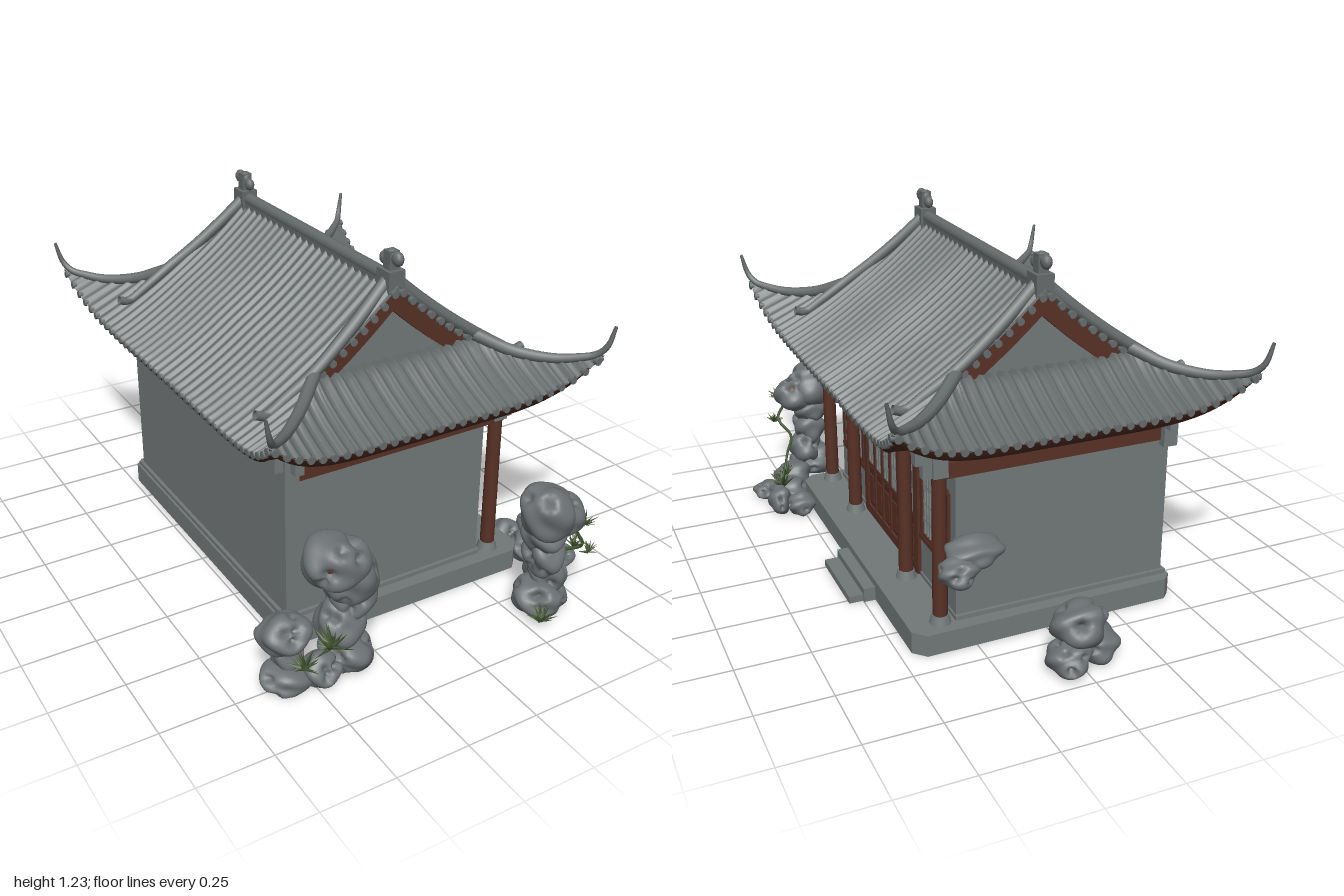
import * as THREE from 'three';
import { mergeVertices } from 'three/addons/utils/BufferGeometryUtils.js';

const mat = (name, color, side = THREE.FrontSide) => Object.assign(new THREE.MeshStandardMaterial({ color, side }), { name });
let seed = 7;
const rand = () => (seed = (seed * 16807) % 2147483647) / 2147483647;
const V = (x, y, z) => new THREE.Vector3(x, y, z);

// Roof rule: ridge along z; d runs down the slope, t runs from hip start (0) to corner (1)
const HX = 0.3, DX = 0.31, HZ = 0.53, DZ = 0.285, XC = HX + DX, ZC = HZ + DZ, PITCH = 0.042;
const profile = d => 1.13 - 0.93 * d + 0.47 * d * d;
const lift = (t, s) => 0.13 * t ** 2.2 * s ** 5;
const eaveT = s => 0.86 + 0.14 * s ** 4;
const mainY = (d, z) => {
  const t = Math.max(0, (d - HX) / DX), s = Math.min(1, Math.abs(z) / (HZ + DZ * t));
  return profile(d) + lift(t, s) - 0.028 * t * (1 - s ** 6);
};
const endY = (x, z) => {
  const t = Math.max(0, (z - HZ) / DZ), s = Math.min(1, Math.abs(x) / (HX + DX * t));
  return profile(HX + DX * t) + lift(t, s) - 0.025 * (1 - s ** 6) * (1 - t) - 0.25 * Math.max(0, HZ - z);
};
const rib = a => 0.014 * Math.max(0, Math.cos(a / PITCH * Math.PI * 2)) ** 0.6;

// Surface from a rule fn(u, v) with u, v in 0..1
function grid(fn, nu, nv) {
  const pos = [], idx = [];
  for (let i = 0; i <= nu; i++) for (let j = 0; j <= nv; j++) pos.push(...fn(i / nu, j / nv));
  for (let i = 0; i < nu; i++) for (let j = 0; j < nv; j++) {
    const a = i * (nv + 1) + j, b = a + nv + 1;
    idx.push(a, a + 1, b, b, a + 1, b + 1);
  }
  const g = new THREE.BufferGeometry().setIndex(idx);
  g.setAttribute('position', new THREE.Float32BufferAttribute(pos, 3));
  g.computeVertexNormals();
  return g;
}

// Tube that narrows towards its end
function taperTube(points, r, end, seg = 24, sides = 8) {
  const curve = new THREE.CatmullRomCurve3(points), g = new THREE.TubeGeometry(curve, seg, r, sides);
  const p = g.attributes.position, v = V(0, 0, 0);
  for (let i = 0; i < p.count; i++) {
    const u = Math.floor(i / (sides + 1)) / seg, c = curve.getPointAt(u);
    v.fromBufferAttribute(p, i).sub(c).multiplyScalar(1 + (end - 1) * u * u).add(c);
    p.setXYZ(i, v.x, v.y, v.z);
  }
  return g;
}

// Weathered stone: a ball with waves and pits, flat where it meets the ground
function stone(rx, ry, rz, floor) {
  let g = new THREE.IcosahedronGeometry(1, 8);
  g.deleteAttribute('normal'); g.deleteAttribute('uv');
  g = mergeVertices(g, 1e-4);
  const p = g.attributes.position, v = V(0, 0, 0), ph = rand() * 20;
  const pits = Array.from({ length: 10 }, () => V(rand() - 0.5, rand() - 0.5, rand() - 0.5).normalize());
  for (let i = 0; i < p.count; i++) {
    v.fromBufferAttribute(p, i);
    let k = 1.04 + 0.1 * Math.sin(3 * v.x + ph) * Math.cos(3.5 * v.y + ph) + 0.08 * Math.sin(5 * v.z + 4 * v.y + 2 * ph);
    for (const q of pits) k -= 0.34 * Math.exp(-v.distanceToSquared(q) * 34);
    p.setXYZ(i, v.x * k * rx, Math.max(floor, v.y * k * ry), v.z * k * rz);
  }
  g.computeVertexNormals();
  return g;
}

export function createModel() {
  const tile = mat('roofTile', 0x666b6b, THREE.DoubleSide), wall = mat('plaster', 0x727878);
  const wood = mat('redBrownWood', 0x573126), darkWood = mat('darkWood', 0x4c2a20, THREE.DoubleSide);
  const rock = mat('rock', 0x6b7072), leaf = mat('leaf', 0x465a33, THREE.DoubleSide), pale = mat('paleLattice', 0x7f8686);
  const model = new THREE.Group(), roof = new THREE.Group();
  model.name = 'courtyardHall';
  roof.name = 'roof';
  roof.position.set(-0.025, 0, -0.03);
  model.add(roof);
  const add = (name, geo, m, parent = model, x = 0, y = 0, z = 0) => {
    const o = new THREE.Mesh(geo, m);
    o.name = name; o.position.set(x, y, z); parent.add(o);
    return o;
  };
  const box = (name, m, x0, x1, y0, y1, z0, z1, parent = model) =>
    add(name, new THREE.BoxGeometry(x1 - x0, y1 - y0, z1 - z0), m, parent, (x0 + x1) / 2, (y0 + y1) / 2, (z0 + z1) / 2);

  const disc = new THREE.CylinderGeometry(0.0125, 0.0125, 0.016, 10);
  const slab = (shape, depth) => new THREE.ExtrudeGeometry(shape, { depth, bevelEnabled: false });
  const gable = (hi, lim, lower) => {
    const ds = Array.from({ length: 13 }, (_, i) => lim * (i / 6 - 1)), pt = (d, y) => new THREE.Vector2(d, y);
    return new THREE.Shape([...ds.map(d => pt(d, profile(Math.abs(d)) - hi)), ...ds.reverse().map(d => pt(d, lower(Math.abs(d))))]);
  };
  for (const k of [1, -1]) {
    // Tiled slopes
    const main = (z0, z1, n) => add('mainSlope', grid((u, v) => {
      const z = z0 + (z1 - z0) * u, a = Math.abs(z);
      const d0 = z0 * z1 > 0 ? HX + DX * (a - HZ) / DZ : 0;
      const d = d0 + (HX + DX * eaveT(a / ZC) - d0) * v;
      return [k * d, mainY(d, z) + rib(z), z];
    }, n, 18), tile, roof);
    main(-HZ, HZ, 200); main(HZ, ZC, 54); main(-ZC, -HZ, 54);
    const end = (x0, x1, n) => add('endSlope', grid((u, v) => {
      const x = x0 + (x1 - x0) * u, a = Math.abs(x);
      const z0 = x0 * x1 > 0 ? HZ + DZ * (a - HX) / DX : 0.44;
      const z = z0 + (HZ + DZ * eaveT(a / XC) - z0) * v;
      return [x, endY(x, z) + rib(x), k * z];
    }, n, 12), tile, roof);
    end(-HX, HX, 110); end(HX, XC, 56); end(-XC, -HX, 56);

    // Round tile ends along the eaves
    for (let i = -19; i <= 19; i++) {
      const z = i * PITCH, d = HX + DX * eaveT(Math.abs(z) / ZC);
      add('eaveTileEnd', disc, tile, roof, k * (d - 0.004), mainY(d, z), z).rotation.z = Math.PI / 2;
    }
    for (let i = -14; i <= 14; i++) {
      const x = i * PITCH, z = HZ + DZ * eaveT(Math.abs(x) / XC);
      add('eaveTileEnd', disc, tile, roof, x, endY(x, z), k * (z - 0.004)).rotation.x = Math.PI / 2;
    }

    // Gable wall, bargeboards, verge tiles and ridges
    add('gableWall', slab(gable(0.03, 0.29, () => 0.8), 0.02), wall, roof, 0, 0, k * 0.45 - 0.01);
    add('bargeboard', slab(gable(0.01, 0.3, d => profile(d) - 0.09), 0.025), wood, roof, 0, 0, k * 0.49 - 0.0125);
    for (const s of [1, -1]) {
      for (let d = 0.015; d < 0.32; d += 0.037)
        add('vergeTileEnd', disc, tile, roof, s * d, profile(d) - 0.01, k * HZ).rotation.x = Math.PI / 2;
      const verge = [0, 0.1, 0.2, 0.3, 0.4, 0.47].map((d, i) => V(s * d, mainY(d, 0.5) + 0.02, k * (0.48 + 0.05 * Math.min(1, i / 3))));
      verge.push(V(s * 0.505, mainY(0.5, 0.5) + 0.045, k * 0.53));
      add('vergeRidge', taperTube(verge, 0.022, 0.7), tile, roof);
      const hip = [0, 0.3, 0.6, 0.8, 0.93].map(t => V(s * (HX + DX * t), profile(HX + DX * t) + lift(t, 1) + 0.012, k * (HZ + DZ * t)));
      hip.push(V(s * 0.61, 0.9, k * 0.82), V(s * 0.628, 0.97, k * 0.832));
      add('hipRidge', taperTube(hip, 0.022, 0.25, 30), tile, roof);
    }

    // Ridge-end ornament
    const z = k * 0.485;
    box('ornamentBase', tile, -0.03, 0.03, 1.1, 1.175, z - 0.035, z + 0.035, roof);
    box('ornamentNeck', tile, -0.018, 0.018, 1.17, 1.235, z - 0.018, z + 0.018, roof);
    for (const [dz, y, r] of [[-0.035, 1.2, 0.022], [0.035, 1.215, 0.024], [0, 1.215, 0.026]])
      add('ornamentCurl', new THREE.SphereGeometry(r, 12, 8).scale(0.75, 1, 1), tile, roof, 0, y, z + k * dz);
  }
  box('mainRidge', tile, -0.02, 0.02, 1.09, 1.15, -0.48, 0.48, roof);
  add('mainRidgeCap', new THREE.CylinderGeometry(0.022, 0.022, 0.9, 12), tile, roof, 0, 1.143, 0).rotation.x = Math.PI / 2;

  // Wooden underside following the curved eaves
  add('soffit', grid((u, v) => {
    const side = Math.min(3, Math.floor(u * 4)), s = (u * 4 - side) * 2 - 1, t = eaveT(Math.abs(s));
    const d = HX + DX * t, e = HZ + DZ * t, f = side < 2 ? 1 : -1, r = Math.round(v * 3);
    const [x, y, z] = side % 2 === 0 ? [f * d, mainY(d, s * ZC), f * s * ZC] : [-f * s * XC, endY(s * XC, e), f * e];
    const kx = [0.998, 0.965, 0.76, 0.6][r], kz = [0.998, 0.975, 0.8, 0.7][r];
    return [x * kx, [y + 0.002, y - 0.035, 0.695 + (y - 0.72) * 0.2, 0.715][r], z * kz];
  }, 160, 3), darkWood, roof);

  // Platform, steps and walls
  const base = new THREE.Shape([[-0.48, -0.63], [-0.45, -0.66], [0.42, -0.67], [0.46, -0.63], [0.46, 0.57], [0.42, 0.61], [-0.45, 0.6], [-0.48, 0.57]]
    .map(([x, z]) => new THREE.Vector2(x, -z)));
  add('platform', slab(base, 0.075), wall, model, 0, 0.01, 0).rotation.x = -Math.PI / 2;
  box('upperStep', wall, 0.44, 0.5, 0.01, 0.06, -0.28, 0.02);
  box('lowerStep', wall, 0.5, 0.55, 0.01, 0.035, -0.27, 0.01);
  box('plinth', wall, -0.472, 0.305, 0.08, 0.1, -0.622, 0.562);
  box('hallWalls', wall, -0.46, 0.3, 0.09, 0.72, -0.61, 0.55);
  box('porchCeiling', wall, 0.29, 0.36, 0.65, 0.72, -0.6, 0.54);

  // End beams with short posts
  for (const [z, k] of [[0.55, 1], [-0.61, -1]]) {
    const beam = (name, x0, x1, y0, y1) => box(name, wood, x0, x1, y0, y1, z - 0.015, z + 0.015);
    beam('lowerEndBeam', -0.42, 0.37, 0.592, 0.645);
    beam('upperEndBeam', -0.46, 0.37, 0.69, 0.72);
    for (const x of [-0.2, 0.145]) beam('endBeamPost', x - 0.018, x + 0.018, 0.64, 0.695);
    box('cornerBracket', wall, -0.475, -0.425, 0.57, 0.69, z - 0.03, z + 0.03);
    box('cornerBracketArm', wall, -0.505, -0.42, 0.645, 0.7, z - 0.02, z + 0.02);
    box('cornerBracketNose', wall, -0.455, -0.425, 0.64, 0.7, z - 0.02 + k * 0.04, z + 0.02 + k * 0.04);
  }

  // Porch columns with brackets and beams
  for (const z of [0.545, 0.25, -0.295, -0.605]) {
    add('porchColumn', new THREE.CylinderGeometry(0.023, 0.025, 0.6, 16), wood, model, 0.352, 0.4, z);
    add('columnBase', new THREE.CylinderGeometry(0.028, 0.036, 0.03, 16), wall, model, 0.352, 0.1, z);
    box('bracketBlock', wall, 0.33, 0.38, 0.6, 0.69, z - 0.026, z + 0.026);
    box('bracketArm', wall, 0.36, 0.435, 0.65, 0.695, z - 0.018, z + 0.018);
    box('bracketStep', wall, 0.36, 0.41, 0.6, 0.65, z - 0.014, z + 0.014);
  }
  box('porchBeam', wall, 0.335, 0.37, 0.605, 0.665, -0.6, 0.54);
  box('porchUpperBeam', wood, 0.335, 0.375, 0.665, 0.72, -0.6, 0.54);

  // Lattice panel on the porch wall: wooden frame, pale bars
  const lattice = (name, z0, z1, y0, y1, cols, rows) => {
    const g = new THREE.Group(), h = (z1 - z0) / cols, w = (y1 - y0) / rows;
    g.name = name; model.add(g);
    box('backing', darkWood, 0.298, 0.302, y0, y1, z0, z1, g);
    for (const z of [z0, z1]) box('stile', wood, 0.3, 0.31, y0, y1, z - 0.009, z + 0.009, g);
    for (const y of [y0, y1]) box('rail', wood, 0.3, 0.309, y - 0.009, y + 0.009, z0, z1, g);
    for (let z = z0 + h; z < z1 - 0.005; z += h) box('bar', pale, 0.3, 0.307, y0 + 0.01, y1 - 0.01, z - 0.0055, z + 0.0055, g);
    for (let y = y0 + w; y < y1 - 0.005; y += w) box('crossBar', pale, 0.3, 0.306, y - 0.005, y + 0.005, z0 + 0.01, z1 - 0.01, g);
  };
  for (let i = 0; i < 6; i++) {
    const z0 = -0.27 + i * 0.082, z1 = z0 + 0.082;
    box('doorPanel', darkWood, 0.298, 0.304, 0.11, 0.3, z0, z1);
    box('doorPanelRaised', wood, 0.3, 0.309, 0.14, 0.25, z0 + 0.018, z1 - 0.018);
    lattice('doorLattice', z0, z1, 0.29, 0.49, 4, 4);
    for (const z of [z0, z1]) box('doorStile', wood, 0.3, 0.31, 0.11, 0.3, z - 0.008, z + 0.008);
  }
  box('doorHead', wood, 0.298, 0.312, 0.49, 0.525, -0.295, 0.245);
  box('doorSill', wood, 0.298, 0.312, 0.085, 0.12, -0.295, 0.245);
  box('transom', darkWood, 0.298, 0.304, 0.52, 0.595, -0.295, 0.245);
  const panel = new THREE.Shape([[-0.24, 0.527], [0.24, 0.527], [0.14, 0.578], [-0.14, 0.578]].map(([x, y]) => new THREE.Vector2(x, y)));
  add('transomPanel', slab(panel, 0.007), wall, model, 0.3, 0, -0.025).rotation.y = Math.PI / 2;
  for (const z of [-0.29, 0.235]) box('doorJamb', wood, 0.298, 0.312, 0.09, 0.58, z - 0.016, z + 0.016);
  for (const [a, b] of [[0.275, 0.5], [-0.56, -0.335]]) {
    for (const c of [a, (a + b) / 2]) lattice('window', c, c + (b - a) / 2, 0.26, 0.51, 5, 4);
    box('windowSill', wood, 0.298, 0.312, 0.24, 0.258, a - 0.015, b + 0.015);
  }

  // Garden rocks: x, y, z, then radii; the tall ones show a brown core in their pits
  const stones = [
    [-0.41, 0.42, 0.76, 0.1, 0.08, 0.1], [-0.36, 0.35, 0.76, 0.09, 0.085, 0.09], [-0.335, 0.26, 0.73, 0.075, 0.08, 0.08],
    [-0.38, 0.17, 0.74, 0.07, 0.08, 0.08], [-0.36, 0.06, 0.75, 0.085, 0.06, 0.09], [-0.57, 0.19, 0.73, 0.08, 0.06, 0.075],
    [-0.56, 0.11, 0.73, 0.045, 0.06, 0.045], [-0.57, 0.04, 0.74, 0.085, 0.045, 0.08], [-0.47, 0.05, 0.78, 0.06, 0.055, 0.06],
    [0.35, 0.39, 0.84, 0.09, 0.095, 0.09], [0.42, 0.36, 0.83, 0.075, 0.07, 0.08], [0.36, 0.29, 0.82, 0.065, 0.06, 0.07],
    [0.365, 0.21, 0.82, 0.06, 0.075, 0.07], [0.39, 0.13, 0.81, 0.06, 0.07, 0.075], [0.35, 0.06, 0.83, 0.09, 0.06, 0.09],
    [0.47, 0.05, 0.72, 0.07, 0.055, 0.08], [0.52, 0.05, 0.58, 0.07, 0.05, 0.08], [0.59, 0.035, 0.65, 0.055, 0.035, 0.06],
    [0.585, 0.06, 0.5, 0.04, 0.055, 0.06], [0.51, 0.045, 0.45, 0.05, 0.045, 0.05],
    [0, 0.15, -0.88, 0.09, 0.07, 0.08], [-0.06, 0.06, -0.86, 0.075, 0.06, 0.09], [0.05, 0.06, -0.91, 0.07, 0.055, 0.075],
    [0.33, 0.445, -0.82, 0.085, 0.045, 0.07], [0.4, 0.415, -0.87, 0.06, 0.045, 0.055]];
  for (const [x, y, z, a, b, c] of stones) {
    add('gardenRock', stone(a, b, c, 0.01 - y), rock, model, x, y, z);
    if (y > 0.2 && z > 0) add('rockCore', new THREE.SphereGeometry(0.72, 16, 12).scale(a, b, c), wood, model, x, y, z);
  }

  // Leaf tufts: x, y, z, radius
  const blade = new THREE.ConeGeometry(0.15, 1, 5).scale(1, 1, 0.5).translate(0, 0.5, 0);
  for (const [x, y, z, r] of [[-0.55, 0.11, 0.82, 0.075], [-0.46, 0.16, 0.83, 0.08], [0.28, 0.04, 0.93, 0.065], [0.47, 0.33, 0.89, 0.055],
    [0.49, 0.22, 0.9, 0.045], [0.56, 0.1, 0.53, 0.08], [0.53, 0.11, 0.6, 0.06], [0.42, 0.27, 0.9, 0.05]]) {
    for (let i = 0; i < 20; i++) {
      const o = add('leafBlade', blade, leaf, model, x, y, z), dir = V(rand() - 0.5, rand() * 0.7, rand() - 0.5).normalize();
      o.quaternion.setFromUnitVectors(V(0, 1, 0), dir);
      o.scale.setScalar(r * (0.6 + 0.4 * rand()));
    }
  }
  add('vine', taperTube([V(0.45, 0.3, 0.88), V(0.48, 0.24, 0.88), V(0.45, 0.19, 0.8), V(0.5, 0.16, 0.68), V(0.55, 0.09, 0.56)], 0.006, 0.6), leaf);
  return model;
}
